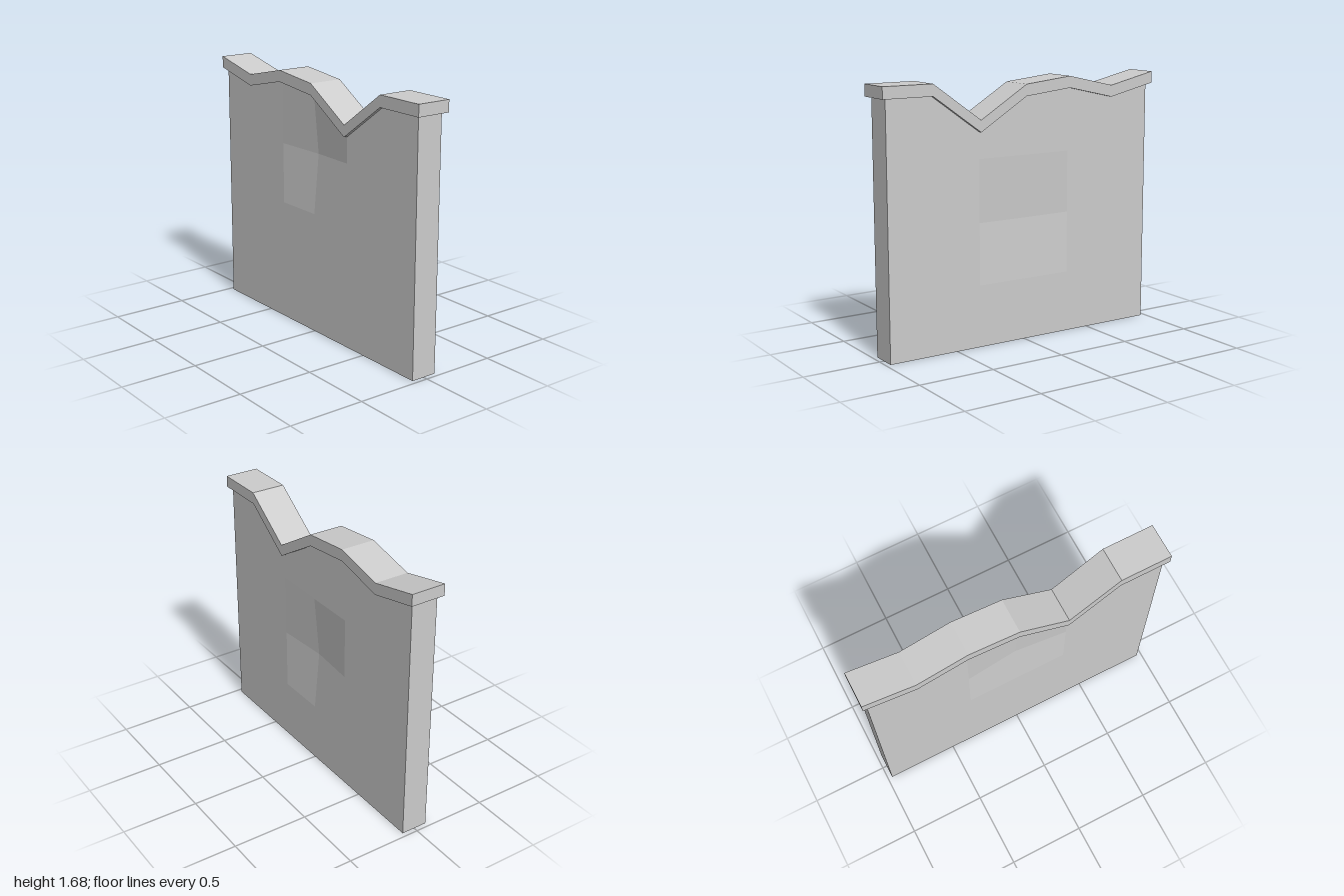
import * as THREE from 'three';

const WALL_X = 0.97, WALL_Z = 0.0875, COPING_Z = 0.1135, COPING_H = 0.075;
// Underside line of the coping, which is also the top of the wall
const crest = [[-1, 1.605], [-0.665, 1.53], [-0.333, 1.605], [0, 1.57], [0.333, 1.368], [0.665, 1.605], [1, 1.605]];
const columns = crest.map(([x, y]) => [THREE.MathUtils.clamp(x, -WALL_X, WALL_X), y]);
columns[0][1] = 1.598;
const rows = [0, 0.4, 0.8, 1.2];

const material = () => new THREE.MeshStandardMaterial({ color: 0xcccccc, side: THREE.DoubleSide });

// Flat-shaded quads, corners counter-clockwise seen from outside
function quadGeometry(quads) {
  const positions = [], normals = [], index = [];
  quads.forEach((quad, i) => {
    const [a, b, c, d] = quad.map((p) => new THREE.Vector3(...p));
    const n = c.clone().sub(a).cross(d.clone().sub(b)).normalize();
    for (const p of [a, b, c, d]) {
      positions.push(p.x, p.y, p.z);
      normals.push(n.x, n.y, n.z);
    }
    const k = i * 4;
    index.push(k, k + 1, k + 2, k, k + 2, k + 3);
  });
  const g = new THREE.BufferGeometry();
  g.setAttribute('position', new THREE.Float32BufferAttribute(positions, 3));
  g.setAttribute('normal', new THREE.Float32BufferAttribute(normals, 3));
  g.setIndex(index);
  return g;
}

// One broad side of the wall: a grid with one vertex of the middle column pushed in
function wallSide(sign, dentRow) {
  const point = (i, j) => {
    const [x, top] = columns[i];
    const dented = i === 3 && j === dentRow;
    const y = j < rows.length ? rows[j] : top;
    return [x, dented ? y - 0.01 : y, sign * (WALL_Z - (dented ? 0.035 : 0))];
  };
  const quads = [];
  for (let i = 0; i < columns.length - 1; i++) {
    for (let j = 0; j < rows.length; j++) {
      const q = [point(i, j), point(i + 1, j), point(i + 1, j + 1), point(i, j + 1)];
      quads.push(sign > 0 ? q : q.reverse());
    }
  }
  return quads;
}

// Narrow end of the wall
function wallEnd(sign) {
  const x = sign * WALL_X, z = sign * WALL_Z, top = sign < 0 ? columns[0][1] : columns[6][1];
  return [[x, 0, z], [x, 0, -z], [x, top, -z], [x, top, z]];
}

export function createModel() {
  const model = new THREE.Group();
  model.name = 'brokenWall';

  // Wall body, open underneath and closed above by the coping
  const wall = new THREE.Mesh(
    quadGeometry([...wallSide(1, 3), ...wallSide(-1, 2), wallEnd(1), wallEnd(-1)]), material());
  wall.name = 'wall';
  model.add(wall);

  // Coping that follows the uneven crest
  const outline = new THREE.Shape([
    ...crest.map(([x, y]) => new THREE.Vector2(x, y)),
    ...crest.map(([x, y]) => new THREE.Vector2(x, y + COPING_H)).reverse(),
  ]);
  const copingGeometry = new THREE.ExtrudeGeometry(outline, { depth: COPING_Z * 2, bevelEnabled: false });
  copingGeometry.translate(0, 0, -COPING_Z);
  const coping = new THREE.Mesh(copingGeometry, material());
  coping.name = 'coping';
  model.add(coping);

  return model;
}
